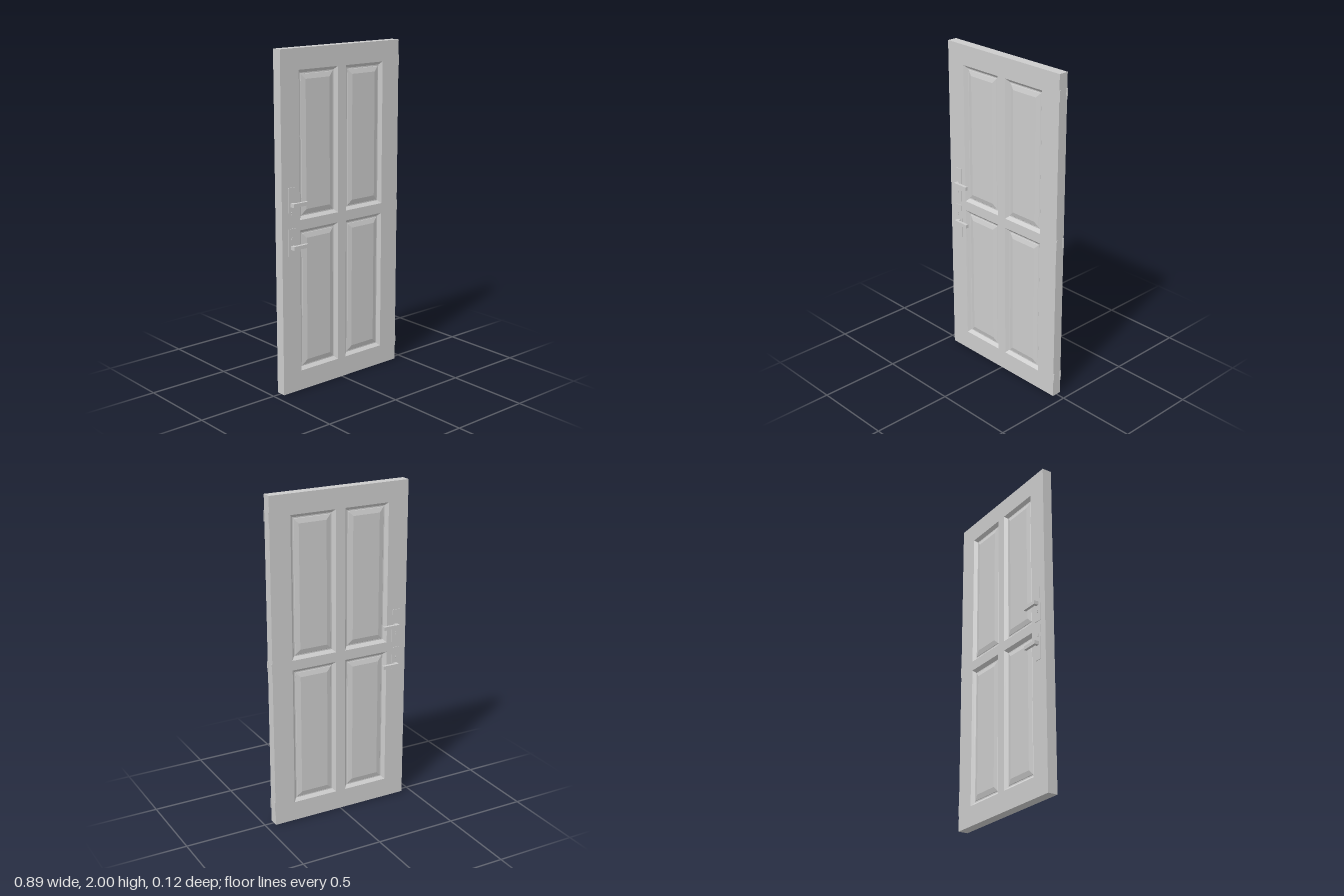
import * as THREE from 'three';

const W = 0.886, H = 2, HALF = 0.03, CX = -0.002;
const PANEL_W = 0.284, PANEL_H = 0.85;

const material = new THREE.MeshStandardMaterial({ color: 0xcccccc, flatShading: true });

function add(parent, geometry, name, x = 0, y = 0, z = 0) {
  const mesh = new THREE.Mesh(geometry, material);
  mesh.name = name;
  mesh.position.set(x, y, z);
  parent.add(mesh);
  return mesh;
}

function box(parent, name, w, h, d, x, y, z) {
  return add(parent, new THREE.BoxGeometry(w, h, d), name, x, y, z);
}

function rectangle(target, x, y, w, h) {
  target.moveTo(x - w / 2, y - h / 2);
  target.lineTo(x + w / 2, y - h / 2);
  target.lineTo(x + w / 2, y + h / 2);
  target.lineTo(x - w / 2, y + h / 2);
  target.closePath();
  return target;
}

// Nested rectangular rings [inset, z], closed by a flat centre field
function panelGeometry(w, h, profile) {
  const positions = [], index = [];
  for (const [inset, z] of profile) {
    const a = w / 2 - inset, b = h / 2 - inset;
    positions.push(-a, -b, z, a, -b, z, a, b, z, -a, b, z);
  }
  for (let r = 0; r < profile.length - 1; r++) {
    for (let i = 0; i < 4; i++) {
      const j = (i + 1) % 4, o = r * 4, n = o + 4;
      index.push(o + i, o + j, n + j, o + i, n + j, n + i);
    }
  }
  const f = (profile.length - 1) * 4;
  index.push(f, f + 1, f + 2, f, f + 2, f + 3);
  const indexed = new THREE.BufferGeometry();
  indexed.setAttribute('position', new THREE.Float32BufferAttribute(positions, 3));
  indexed.setIndex(index);
  const geometry = indexed.toNonIndexed();
  geometry.computeVertexNormals();
  return geometry;
}

// Plate, keyhole, stem and lever on the +z face; dir is +1 or -1 for plate direction
function makeHandle(y, dir) {
  const handle = new THREE.Group();
  handle.name = 'handle';
  const x = -0.375;
  box(handle, 'backPlate', 0.05, 0.21, 0.004, x, y - dir * 0.005, HALF + 0.001);
  box(handle, 'stem', 0.02, 0.022, 0.03, x, y, HALF + 0.015);
  box(handle, 'lever', 0.105, 0.022, 0.018, -0.3325, y, 0.053);
  const keyhole = add(handle, new THREE.CylinderGeometry(0.005, 0.005, 0.005, 12),
    'keyhole', x - 0.004, y - dir * 0.045, HALF + 0.004);
  keyhole.rotation.x = Math.PI / 2;
  box(handle, 'keyholeSlot', 0.005, 0.012, 0.005, x - 0.004, y - dir * 0.053, HALF + 0.004);
  return handle;
}

export function createModel() {
  const door = new THREE.Group();
  door.name = 'door';
  const centres = [];
  for (const x of [-0.174, 0.171]) for (const y of [0.545, 1.455]) centres.push([x, y]);

  // Frame with four openings
  const outline = rectangle(new THREE.Shape(), CX, H / 2, W, H);
  for (const [x, y] of centres) {
    outline.holes.push(rectangle(new THREE.Path(), x, y, PANEL_W, PANEL_H));
  }
  const frame = new THREE.ExtrudeGeometry(outline, { depth: 2 * HALF, bevelEnabled: false });
  add(door, frame, 'frame', 0, 0, -HALF);

  // Sloped moulding, recessed groove and raised field, on both faces
  const panel = panelGeometry(PANEL_W, PANEL_H, [
    [0, HALF], [0.004, 0.026], [0.018, 0.012], [0.025, 0.012], [0.027, 0.014], [0.055, 0.022],
  ]);
  for (const [x, y] of centres) {
    add(door, panel, 'frontPanel', x, y, 0);
    add(door, panel, 'backPanel', x, y, 0).rotation.y = Math.PI;
  }

  // Two lever handles per face, mirrored about mid-height
  for (const [y, dir] of [[1.128, 1], [0.88, -1]]) {
    const front = makeHandle(y, dir);
    front.name = 'frontHandle';
    const back = makeHandle(y, dir);
    back.name = 'backHandle';
    for (const part of back.children) part.position.z *= -1;
    door.add(front, back);
  }

  // Hinge knuckles along both corners of the hinge edge
  for (const y of [0.122, 1, 1.88]) {
    for (const side of [1, -1]) {
      box(door, 'hinge', 0.008, 0.062, 0.008, 0.441, y, side * 0.026);
    }
  }
  return door;
}
